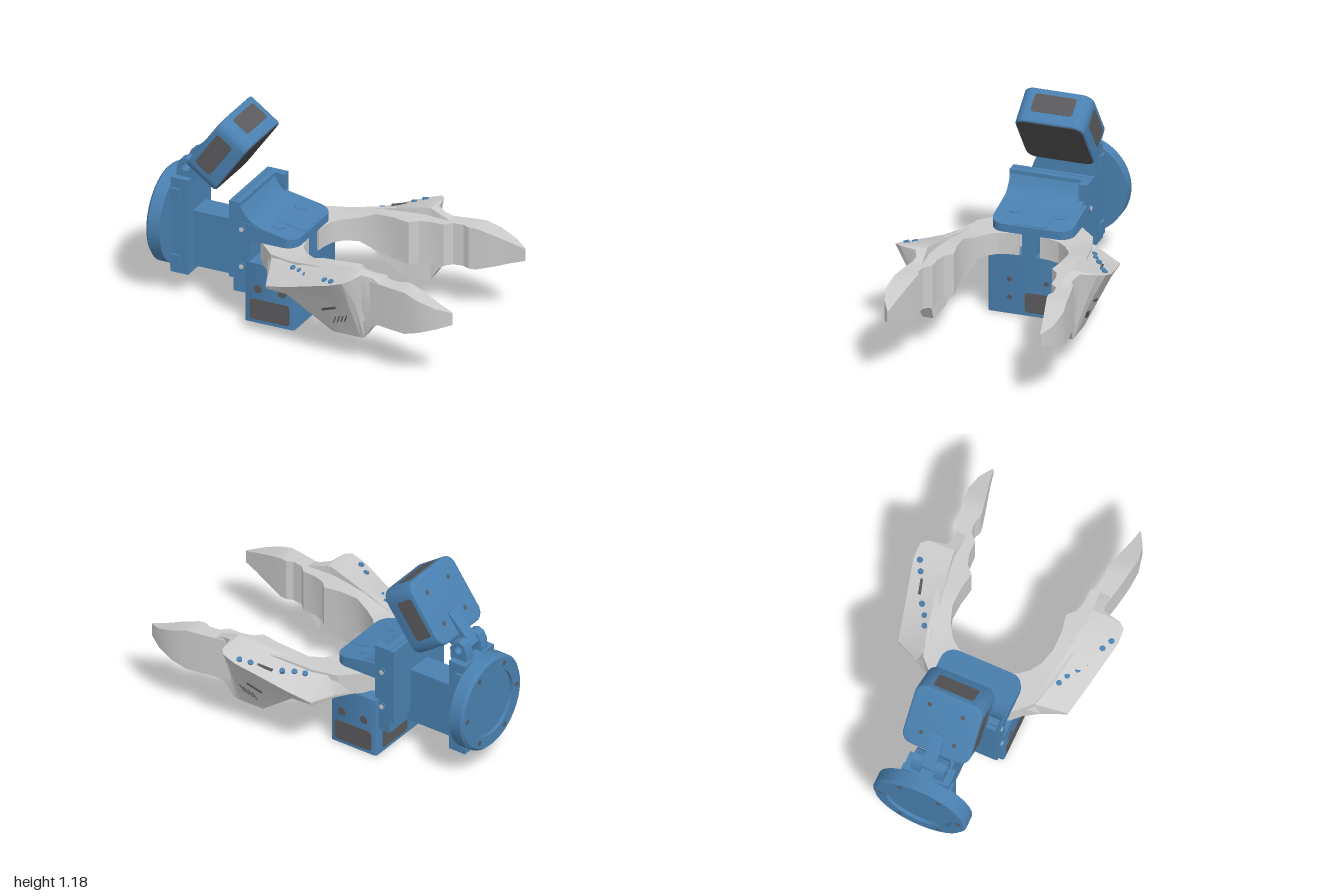
import * as THREE from 'three';
import { toCreasedNormals } from 'three/addons/utils/BufferGeometryUtils.js';

const mat = (color) => new THREE.MeshStandardMaterial({ color });
const blue = mat(0x4a80b0), dark = mat(0x5a5a5c), screen = mat(0x4a4a4c), grey = mat(0xcccccc);

function add(parent, name, geo, material, x = 0, y = 0, z = 0) {
  const mesh = new THREE.Mesh(geo, material);
  mesh.name = name;
  mesh.position.set(x, y, z);
  parent.add(mesh);
  return mesh;
}

// Box given by its limits on each axis
function box(parent, name, material, [x0, x1], [y0, y1], [z0, z1]) {
  return add(parent, name, new THREE.BoxGeometry(x1 - x0, y1 - y0, z1 - z0), material,
    (x0 + x1) / 2, (y0 + y1) / 2, (z0 + z1) / 2);
}

function roundedRect(w, h, r) {
  const s = new THREE.Shape(), a = w / 2, b = h / 2;
  s.absarc(a - r, b - r, r, 0, Math.PI / 2);
  s.absarc(-a + r, b - r, r, Math.PI / 2, Math.PI);
  s.absarc(-a + r, -b + r, r, Math.PI, Math.PI * 1.5);
  s.absarc(a - r, -b + r, r, Math.PI * 1.5, Math.PI * 2);
  return s;
}

// Rounded panel of depth d, centred, facing the given axis
function panel(w, h, d, r, axis = 'z', bevel = 0) {
  const geo = new THREE.ExtrudeGeometry(roundedRect(w - 2 * bevel, h - 2 * bevel, r), {
    depth: d - 2 * bevel, curveSegments: 8, bevelEnabled: bevel > 0,
    bevelSize: bevel, bevelThickness: bevel, bevelSegments: 3,
  }).translate(0, 0, -d / 2 + bevel);
  if (axis === 'x') geo.rotateY(Math.PI / 2);
  if (axis === 'y') geo.rotateX(Math.PI / 2);
  return toCreasedNormals(geo, 0.6);
}

// Side profile in x and y, extruded across z
function profile(points, z0, z1, hole) {
  const s = new THREE.Shape(points.map(([x, y]) => new THREE.Vector2(x, y)));
  if (hole) s.holes.push(new THREE.Path().absarc(hole[0], hole[1], hole[2], 0, Math.PI * 2, true));
  const geo = new THREE.ExtrudeGeometry(s, { depth: z1 - z0, bevelEnabled: false }).translate(0, 0, z0);
  return toCreasedNormals(geo, 0.5);
}

function disc(parent, name, r, depth, material, axis, x, y, z) {
  const geo = new THREE.CylinderGeometry(r, r, depth, 20);
  if (axis === 'x') geo.rotateZ(Math.PI / 2);
  if (axis === 'z') geo.rotateX(Math.PI / 2);
  return add(parent, name, geo, material, x, y, z);
}

// Closed body through cross-sections; side = -1 mirrors it in z
function loft(sections, side) {
  const rings = sections.map((s) => {
    const ring = s.map(([x, y, z]) => [x, y, z * side]);
    return side < 0 ? ring.reverse() : ring;
  });
  const pos = [], n = rings[0].length;
  for (let i = 0; i < rings.length - 1; i++) {
    for (let j = 0; j < n; j++) {
      const a = rings[i][j], b = rings[i][(j + 1) % n], c = rings[i + 1][(j + 1) % n], d = rings[i + 1][j];
      pos.push(...a, ...b, ...c, ...a, ...c, ...d);
    }
  }
  for (const end of [rings.at(-1), [...rings[0]].reverse()]) {
    for (let j = 1; j < n - 1; j++) pos.push(...end[0], ...end[j], ...end[j + 1]);
  }
  const geo = new THREE.BufferGeometry();
  geo.setAttribute('position', new THREE.Float32BufferAttribute(pos, 3));
  geo.computeVertexNormals();
  return toCreasedNormals(geo, 0.35);
}

// Claw: inner x, inner z, outer x, outer z, bottom, top
const CLAW = [
  [-0.09, 0.06, -0.34, 0.14, 0.37, 0.5], [-0.085, 0.11, -0.29, 0.24, 0.37, 0.5],
  [-0.065, 0.18, -0.24, 0.29, 0.37, 0.5], [-0.02, 0.235, -0.19, 0.34, 0.37, 0.5],
  [0.05, 0.28, -0.05, 0.38, 0.36, 0.505], [0.14, 0.31, 0.14, 0.42, 0.31, 0.535],
  [0.25, 0.308, 0.28, 0.45, 0.285, 0.54], [0.353, 0.29, 0.37, 0.47, 0.28, 0.54],
  [0.396, 0.332, 0.41, 0.475, 0.28, 0.54], [0.46, 0.35, 0.46, 0.46, 0.28, 0.54],
  [0.54, 0.352, 0.51, 0.47, 0.285, 0.54], [0.58, 0.392, 0.58, 0.485, 0.285, 0.54],
  [0.64, 0.4, 0.65, 0.498, 0.285, 0.54], [0.68, 0.383, 0.7, 0.505, 0.285, 0.54],
  [0.72, 0.388, 0.73, 0.51, 0.285, 0.54], [0.82, 0.41, 0.82, 0.52, 0.315, 0.51],
  [0.92, 0.433, 0.92, 0.5, 0.35, 0.475], [1, 0.447, 1, 0.455, 0.375, 0.45],
];
// Outer shell: x, then y and z of top inner, top outer, middle outer, bottom outer, bottom inner
const SHELL = [
  [-0.24, 0.48, 0.27, 0.385, 0.29, 0.377, 0.29, 0.37, 0.29, 0.37, 0.26],
  [-0.19, 0.49, 0.32, 0.39, 0.38, 0.38, 0.378, 0.37, 0.37, 0.37, 0.31],
  [-0.13, 0.5, 0.34, 0.395, 0.52, 0.38, 0.517, 0.37, 0.505, 0.37, 0.33],
  [0, 0.51, 0.36, 0.43, 0.55, 0.395, 0.53, 0.37, 0.515, 0.37, 0.34],
  [0.25, 0.56, 0.4, 0.52, 0.61, 0.37, 0.52, 0.165, 0.442, 0.165, 0.375],
  [0.31, 0.57, 0.41, 0.54, 0.624, 0.38, 0.525, 0.165, 0.442, 0.165, 0.375],
  [0.395, 0.584, 0.424, 0.57, 0.622, 0.39, 0.53, 0.165, 0.442, 0.165, 0.375],
  [0.425, 0.585, 0.424, 0.577, 0.585, 0.4, 0.515, 0.165, 0.442, 0.165, 0.377],
  [0.445, 0.578, 0.42, 0.575, 0.485, 0.4, 0.472, 0.17, 0.442, 0.17, 0.38],
  [0.5, 0.56, 0.415, 0.56, 0.462, 0.4, 0.466, 0.25, 0.455, 0.25, 0.37],
  [0.55, 0.54, 0.41, 0.54, 0.472, 0.4, 0.473, 0.285, 0.472, 0.285, 0.37],
];
const DOTS = [[-0.015, 0.485, 0.41], [0.04, 0.49, 0.435], [0.095, 0.496, 0.475], [0.255, 0.532, 0.555], [0.31, 0.548, 0.585]];

function finger(side) {
  const g = new THREE.Group();
  g.name = side > 0 ? 'frontFinger' : 'backFinger';
  add(g, 'claw', loft(CLAW.map(([xi, zi, xo, zo, b, t]) =>
    [[xi, t, zi], [xo, t, zo], [xo, b, zo], [xi, b, zi]]), side), grey);
  add(g, 'shell', loft(SHELL.map(([x, ...p]) => [0, 2, 4, 6, 8].map((i) => [x, p[i], p[i + 1]])), side), grey);
  for (const [x, y, z] of DOTS) {
    disc(g, 'shellScrew', 0.016, 0.016, blue, 'y', x, y, z * side).rotation.set(0.3 * side, 0, 0.2);
  }
  const topSlot = add(g, 'topSlot', new THREE.BoxGeometry(0.09, 0.01, 0.014), dark, 0.18, 0.512, 0.522 * side);
  topSlot.rotation.set(0.24 * side, -0.2 * side, 0.25);
  const sideSlot = add(g, 'sideSlot', new THREE.BoxGeometry(0.1, 0.014, 0.01), dark, 0.26, 0.34, 0.51 * side);
  sideSlot.rotation.set(0.37 * side, 0, 0.4);
  for (let i = 0; i < 4; i++) {
    const vent = add(g, 'vent', new THREE.BoxGeometry(0.006, 0.06, 0.008), dark, 0.28 + 0.025 * i, 0.26 + 0.01 * i, (0.478 + 0.004 * i) * side);
    vent.rotation.set(0.37 * side, 0, -0.4);
  }
  disc(g, 'hinge', 0.08, 0.13, grey, 'y', -0.27, 0.435, 0.13 * side);
  return g;
}

export function createModel() {
  const model = new THREE.Group();
  model.name = 'roboticGripper';

  // Wrist flange with a recessed back and a ring of bolts
  const rim = [[0, 0], [0.285, 0], [0.285, 0.075], [0.27, 0.09], [0.2, 0.09], [0.2, 0.07], [0, 0.07]];
  const flange = new THREE.LatheGeometry(rim.map(([r, h]) => new THREE.Vector2(r, h)), 48).rotateZ(Math.PI / 2);
  add(model, 'flange', toCreasedNormals(flange, 0.5), blue, -0.91, 0.445, 0);
  for (let i = 0; i < 6; i++) {
    const a = (i + 0.5) * Math.PI / 3;
    disc(model, 'flangeBolt', 0.015, 0.006, dark, 'x', -0.998, 0.445 + 0.237 * Math.cos(a), 0.237 * Math.sin(a));
  }

  // Adapter and arm
  box(model, 'adapter', blue, [-0.915, -0.805], [0.145, 0.73], [-0.14, 0.14]);
  for (const y of [0.23, 0.64]) box(model, 'adapterLug', blue, [-0.91, -0.86], [y - 0.05, y + 0.03], [-0.155, 0.155]);
  box(model, 'arm', blue, [-0.81, -0.48], [0.18, 0.52], [-0.08, 0.08]);

  // Bracket with a thin upper plate, one corner post and a scooped cap
  box(model, 'backPlate', blue, [-0.5, -0.475], [0.25, 0.72], [-0.24, 0.24]);
  box(model, 'bracket', blue, [-0.47, -0.37], [0.17, 0.6], [-0.24, 0.24]);
  box(model, 'upperPlate', blue, [-0.47, -0.43], [0.59, 0.72], [-0.24, 0.24]);
  box(model, 'cornerPost', blue, [-0.47, -0.37], [0.59, 0.72], [-0.24, -0.19]);
  const scoop = [[-0.44, 0.54], [-0.2, 0.55], [-0.3, 0.588], [-0.345, 0.602], [-0.38, 0.625], [-0.41, 0.66], [-0.44, 0.715]];
  add(model, 'capScoop', profile(scoop, -0.22, 0.235), blue);
  const cap = panel(0.36, 0.48, 0.1, 0.08, 'y');
  const p = cap.attributes.position;
  for (let i = 0; i < p.count; i++) if (p.getY(i) > 0) p.setY(i, 0.03 - 0.18 * p.getX(i));
  cap.computeVertexNormals();
  add(model, 'cap', toCreasedNormals(cap, 0.5), blue, -0.27, 0.55, 0);
  const inset = add(model, 'capInset', new THREE.BoxGeometry(0.18, 0.01, 0.19), blue, -0.19, 0.564, 0);
  inset.rotation.z = -0.18;
  box(model, 'hingePillar', blue, [-0.4, -0.09], [0.36, 0.51], [-0.035, 0.045]);
  for (const s of [-1, 1]) {
    disc(model, 'hingeCap', 0.038, 0.02, blue, 'y', -0.24, 0.569, 0.135 * s).rotation.z = -0.18;
    for (const y of [0.33, 0.56]) {
      disc(model, 'bracketBolt', 0.026, 0.012, blue, 'z', -0.42, y, 0.24 * s);
      disc(model, 'bracketBoltHole', 0.014, 0.018, grey, 'z', -0.42, y, 0.24 * s);
    }
  }

  // Lower camera housing with a window on each side and a screen below
  add(model, 'lowerHousing', panel(0.31, 0.517, 0.366, 0.015, 'y'), blue, -0.245, 0.187, -0.011);
  add(model, 'lowerScreen', panel(0.28, 0.48, 0.01, 0.015, 'y'), screen, -0.245, 0.005, -0.011);
  for (const s of [-1, 1]) {
    const z = -0.011 + 0.256 * s;
    add(model, 'sideWindow', panel(0.25, 0.125, 0.01, 0.02), dark, -0.243, 0.087, z);
    add(model, 'endWindow', panel(0.24, 0.12, 0.01, 0.02, 'x'), dark, -0.245 + 0.153 * s, 0.085, -0.09);
    for (const x of [-0.315, -0.165]) disc(model, 'housingScrew', 0.025, 0.01, dark, 'z', x, 0.215, z);
  }
  for (const [y, z] of [[0.215, 0.12], [0.215, -0.1], [0.105, 0.12]]) disc(model, 'housingScrew', 0.015, 0.01, dark, 'x', -0.092, y, z);

  // Tilting camera mount
  for (const s of [-1, 1]) {
    const lug = profile([[-0.9, 0.72], [-0.79, 0.72], [-0.785, 0.79], [-0.805, 0.83], [-0.84, 0.845], [-0.875, 0.83], [-0.895, 0.79]],
      -0.03, 0.03, [-0.84, 0.79, 0.025]);
    add(model, 'mountLug', lug, blue, 0, 0, 0.07 * s);
  }
  add(model, 'mountArm', profile([[-0.885, 0.8], [-0.87, 0.745], [-0.82, 0.74], [-0.7, 0.78], [-0.68, 0.94], [-0.73, 0.965], [-0.85, 0.845]],
    -0.038, 0.038, [-0.84, 0.79, 0.025]), blue);

  // Tilted upper camera
  const camera = new THREE.Group();
  camera.name = 'upperCamera';
  camera.position.set(-0.597, 0.95, 0);
  camera.rotation.z = -0.621;
  model.add(camera);
  add(camera, 'cameraBody', panel(0.41, 0.41, 0.22, 0.055, 'x', 0.012), blue);
  add(camera, 'cameraScreen', panel(0.388, 0.385, 0.01, 0.05, 'x'), screen, 0.107, 0, 0);
  add(camera, 'topWindow', panel(0.115, 0.245, 0.01, 0.015, 'y'), dark, -0.015, 0.202, 0);
  for (const s of [-1, 1]) {
    add(camera, 'sideWindow', panel(0.115, 0.245, 0.01, 0.015), dark, -0.02, 0, 0.202 * s);
    for (const y of [-0.1, 0.1]) disc(camera, 'rearScrew', 0.013, 0.008, dark, 'x', -0.108, y, 0.1 * s);
  }

  // Pair of mirrored fingers
  model.add(finger(1), finger(-1));
  return model;
}
